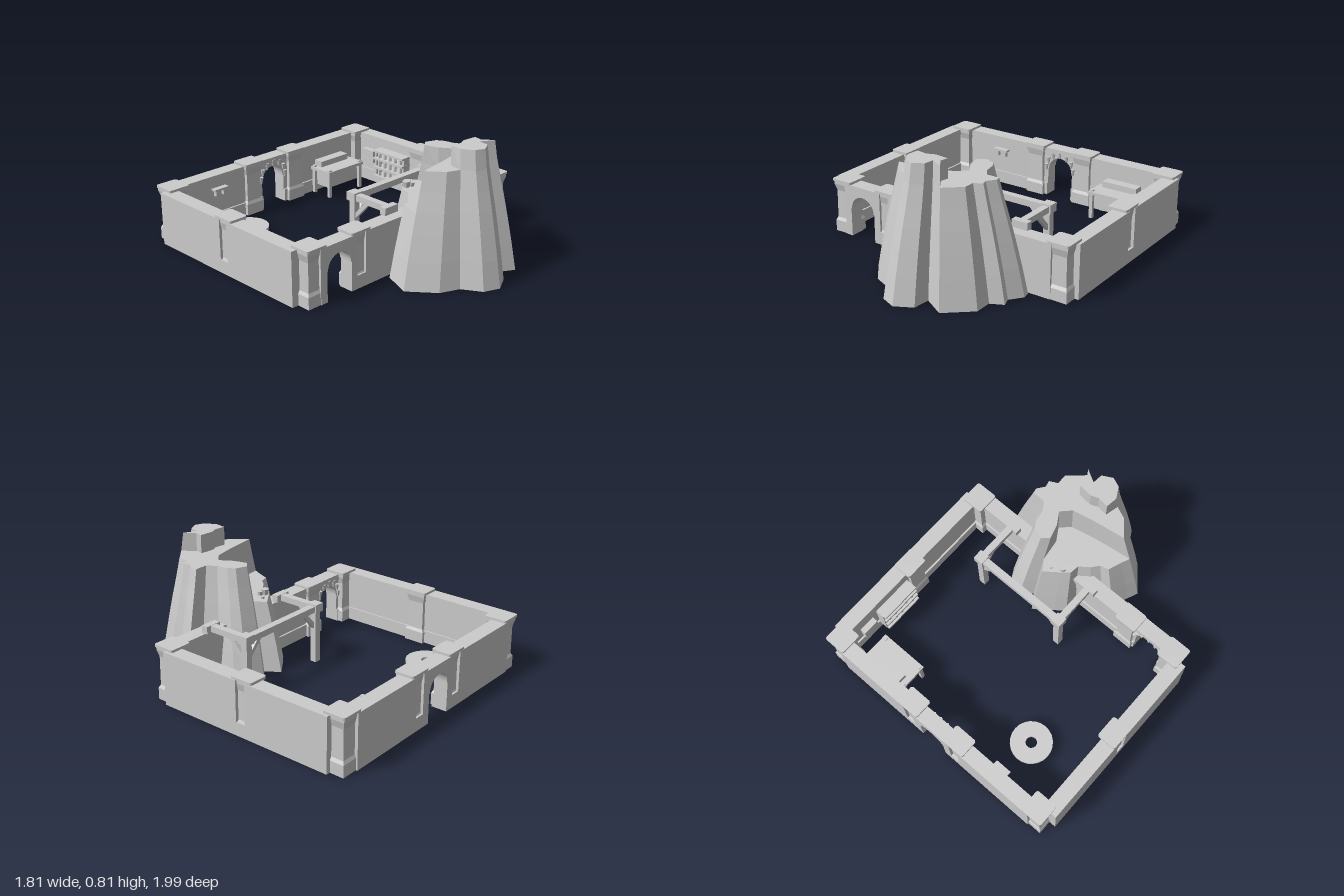
import * as THREE from 'three';

const mat = new THREE.MeshStandardMaterial({ color: 0xcccccc, flatShading: true, side: THREE.DoubleSide });
const H = 0.345;

function add(parent, name, geo, x = 0, y = 0, z = 0) {
  const m = new THREE.Mesh(geo, mat);
  m.name = name;
  m.position.set(x, y, z);
  parent.add(m);
  return m;
}

// box given by its extents
function box(parent, name, x0, x1, y0, y1, z0, z1) {
  return add(parent, name, new THREE.BoxGeometry(x1 - x0, y1 - y0, z1 - z0),
    (x0 + x1) / 2, (y0 + y1) / 2, (z0 + z1) / 2);
}

function group(parent, name) {
  const g = new THREE.Group();
  g.name = name;
  parent.add(g);
  return g;
}

// square bar between two points
function bar(parent, name, a, b, w) {
  const p = new THREE.Vector3(...a), q = new THREE.Vector3(...b);
  const m = add(parent, name, new THREE.BoxGeometry(w, w, p.distanceTo(q)));
  m.position.copy(p).add(q).multiplyScalar(0.5);
  m.lookAt(q);
}

// wall along local x, inner face at z = 0, outer face at z = 0.1
function wall(parent, name, a, b, notches, arch) {
  const g = group(parent, name);
  const s = new THREE.Shape();
  s.moveTo(a, 0);
  if (arch !== undefined) {
    s.lineTo(arch - 0.095, 0);
    s.lineTo(arch - 0.095, 0.19);
    s.absarc(arch, 0.19, 0.09, Math.PI, 0, true);
    s.lineTo(arch + 0.095, 0.19);
    s.lineTo(arch + 0.095, 0);
  }
  s.lineTo(b, 0);
  s.lineTo(b, H);
  // outer recesses in front of the piers
  for (const n of [...notches].sort((p, q) => q - p)) {
    s.lineTo(n + 0.033, H);
    s.lineTo(n + 0.033, 0.085);
    s.lineTo(n - 0.033, 0.085);
    s.lineTo(n - 0.033, H);
  }
  s.lineTo(a, H);
  add(g, 'wallSlab', new THREE.ExtrudeGeometry(s, { depth: 0.088, bevelEnabled: false, curveSegments: 10 }), 0, 0, 0.012);
  // inner trim: coping and plinth
  box(g, 'coping', a, b, 0.305, H, 0, 0.014);
  const runs = arch === undefined ? [[a, b]] : [[a, arch - 0.095], [arch + 0.095, b]];
  for (const [p, q] of runs) box(g, 'plinth', p, q, 0, 0.085, 0, 0.014);
  // hanging drops round the arch
  if (arch !== undefined) for (let i = 0; i < 7; i++) {
    const t = Math.PI * i / 6;
    add(g, 'archDrop', new THREE.CylinderGeometry(0.014, 0.006, 0.045, 6),
      arch + 0.105 * Math.cos(t), 0.205 + 0.1 * Math.sin(t), 0.004);
  }
  return g;
}

// pier with flared base and head, and a flat cap
function pier(parent, x, z, w, d) {
  const g = group(parent, 'pier');
  const prof = [[0.44, 0], [0.44, 0.075], [0.37, 0.095], [0.36, 0.28], [0.44, 0.325], [0.44, H]]
    .map(([r, y]) => new THREE.Vector2(r * Math.SQRT2, y));
  const geo = new THREE.LatheGeometry(prof, 4);
  geo.rotateY(Math.PI / 4).scale(w, 1, d);
  add(g, 'pierShaft', geo);
  const s = new THREE.Shape(), r = 0.015, a = w / 2, b = d / 2;
  s.absarc(a - r, b - r, r, 0, Math.PI / 2);
  s.absarc(r - a, b - r, r, Math.PI / 2, Math.PI);
  s.absarc(r - a, r - b, r, Math.PI, Math.PI * 1.5);
  s.absarc(a - r, r - b, r, Math.PI * 1.5, Math.PI * 2);
  const cap = new THREE.ExtrudeGeometry(s, { depth: 0.016, bevelEnabled: false, curveSegments: 3 });
  add(g, 'pierCap', cap.rotateX(-Math.PI / 2), 0, H, 0);
  g.position.set(x, 0, z);
}

// solid lofted through equal rings of [x, y, z], capped at both ends
function loft(rings) {
  const pos = [], n = rings[0].length;
  for (let k = 0; k + 1 < rings.length; k++) for (let i = 0; i < n; i++) {
    const j = (i + 1) % n, a = rings[k][i], b = rings[k][j], c = rings[k + 1][j], d = rings[k + 1][i];
    pos.push(...a, ...d, ...c, ...a, ...c, ...b);
  }
  for (const [ring, up] of [[rings[0], -1], [rings[rings.length - 1], 1]]) {
    const flat = ring.map(p => new THREE.Vector2(p[0], p[2]));
    for (const f of THREE.ShapeUtils.triangulateShape(flat, [])) {
      const [p, q, r] = f.map(i => ring[i]);
      const ny = (q[2] - p[2]) * (r[0] - p[0]) - (q[0] - p[0]) * (r[2] - p[2]);
      pos.push(...p, ...(ny * up > 0 ? [...q, ...r] : [...r, ...q]));
    }
  }
  const geo = new THREE.BufferGeometry();
  geo.setAttribute('position', new THREE.Float32BufferAttribute(pos, 3));
  geo.computeVertexNormals();
  return geo;
}

function stump(parent) {
  const g = group(parent, 'treeStump');
  // ground outline (x, z), clockwise from above
  const o = [[-.32, .62], [-.29, .55], [-.25, .44], [-.18, .42], [-.13, .36], [-.05, .3], [-.04, .22],
    [.02, .17], [.14, .08], [.2, .17], [.27, .11], [.38, .15], [.42, .22], [.44, .33], [.5, .42], [.63, .42],
    [.64, .47], [.58, .55], [.6, .61], [.52, .65], [.52, .76], [.36, .9], [.22, .82], [.21, .93], [.1, .99],
    [0, .95], [-.07, .83], [-.19, .78]];
  const ring = (pts, y, s, fixed = []) => [
    ...pts.map(([x, z]) => [0.155 + (x - 0.155) * s, y, 0.57 + (z - 0.57) * s]),
    ...fixed.map(([x, z]) => [x, y, z])];
  add(g, 'stumpBase', loft([[0, 1], [.17, .925], [.33, .845], [.45, .78]].map(([y, s]) => ring(o, y, s))));
  const crown = [...o.slice(9), o[0]], step = [[-.07, .59], [.06, .57], [.2, .54], [.26, .48], [.21, .4]];
  add(g, 'stumpCrown', loft([[.45, .78], [.57, .71], [.69, .645]].map(([y, s]) => ring(crown, y, s, step))));
  const peak = [[.03, .65], [.1, .66], [.15, .64], [.24, .65], [.23, .7]];
  add(g, 'stumpPeak', loft([[.69, .645], [.81, .6]].map(([y, s]) => ring(o.slice(21, 27), y, s, peak))));
  // small pots on the ledge
  for (const [x, z, r] of [[.055, .285, .026], [.085, .3, .018], [.12, .245, .012]])
    add(g, 'pot', new THREE.CylinderGeometry(r, r * 0.8, r * 1.4, 8), x, .45 + r * 0.7, z);
}

function pergola(parent) {
  const g = group(parent, 'pergola');
  box(g, 'frontBeam', -.13, .51, .35, .39, .003, .05);
  for (const [x, s] of [[-.13, 1], [.51, -1]]) {
    box(g, 'post', x - .022, x + .022, 0, .35, .005, .049);
    box(g, 'postCap', x - .034, x + .034, .345, .4, -.007, .061);
    box(g, 'sideBeam', x - .022, x + .022, .35, .39, .03, .32);
    box(g, 'wallPlate', x - .055, x + .055, .345, .392, .295, .34);
    bar(g, 'brace', [x, .23, .03], [x + s * .12, .36, .03], .026);
    bar(g, 'brace', [x, .23, .03], [x, .36, .15], .026);
  }
}

function furniture(parent) {
  // round table with a hole in the middle
  const t = group(parent, 'roundTable');
  const prof = [[.036, .06], [.135, .06], [.135, .078], [.036, .078], [.036, .06]].map(p => new THREE.Vector2(...p));
  add(t, 'tableTop', new THREE.LatheGeometry(prof, 24));
  for (let i = 0; i < 4; i++) {
    const a = i * Math.PI / 2 + Math.PI / 4;
    const leg = add(t, 'tableLeg', new THREE.BoxGeometry(.035, .06, .025), .09 * Math.cos(a), .03, .09 * Math.sin(a));
    leg.rotation.y = -a;
  }
  t.position.set(-.46, 0, -.61);

  // desk with raised back
  const d = group(parent, 'desk');
  box(d, 'deskTop', .35, .68, .17, .19, -.9, -.71);
  box(d, 'deskBody', .38, .65, .06, .17, -.9, -.75);
  box(d, 'deskHutch', .39, .64, .19, .23, -.9, -.83);
  for (const x of [.37, .66]) for (const z of [-.88, -.73])
    box(d, 'deskPost', x - .012, x + .012, 0, .2, z - .012, z + .012);

  // shelf rack with jars
  const r = group(parent, 'shelfRack');
  for (const z of [-.645, -.38]) box(r, 'rackSide', .74, .8, .08, .28, z - .008, z + .008);
  for (const y of [.09, .155, .22, .275]) {
    box(r, 'rackShelf', .72, .8, y - .007, y + .007, -.65, -.37);
    if (y < .25) for (let i = 0; i < 5; i++)
      add(r, 'jar', new THREE.CylinderGeometry(.011, .013, .04, 6), .745, y + .027, -.61 + i * .05);
  }
  box(parent, 'wallBox', .76, .8, .16, .25, -.8, -.69);

  // little wall shelf
  const s = group(parent, 'wallShelf');
  box(s, 'shelfBoard', -.515, -.405, .25, .264, -.9, -.86);
  for (const x of [-.49, -.43]) box(s, 'shelfBracket', x - .008, x + .008, .21, .25, -.9, -.875);
}

export function createModel() {
  const model = new THREE.Group();
  model.name = 'walledCourtyard';
  wall(model, 'frontWall', -.77, .77, [-.45], -.625).position.z = .31;
  const back = wall(model, 'backWall', -.77, .77, [.175, -.195], -.01);
  back.rotation.y = Math.PI;
  back.position.z = -.9;
  const left = wall(model, 'sideWall', -.9, .32, [-.285]);
  left.rotation.y = -Math.PI / 2;
  left.position.x = -.805;
  const right = wall(model, 'sideWall', -.32, .9, [.285]);
  right.rotation.y = Math.PI / 2;
  right.position.x = .805;
  // corner and middle piers
  for (const x of [-.795, .812]) for (const z of [-.925, .34]) pier(model, x, z, .15, .15);
  for (const [x, z, w, d] of [[-.175, -.935, .155, .13], [.195, -.935, .155, .13], [-.45, .347, .155, .13],
    [-.84, -.29, .13, .155], [.837, -.29, .13, .155]]) pier(model, x, z, w, d);
  stump(model);
  pergola(model);
  furniture(model);
  return model;
}
